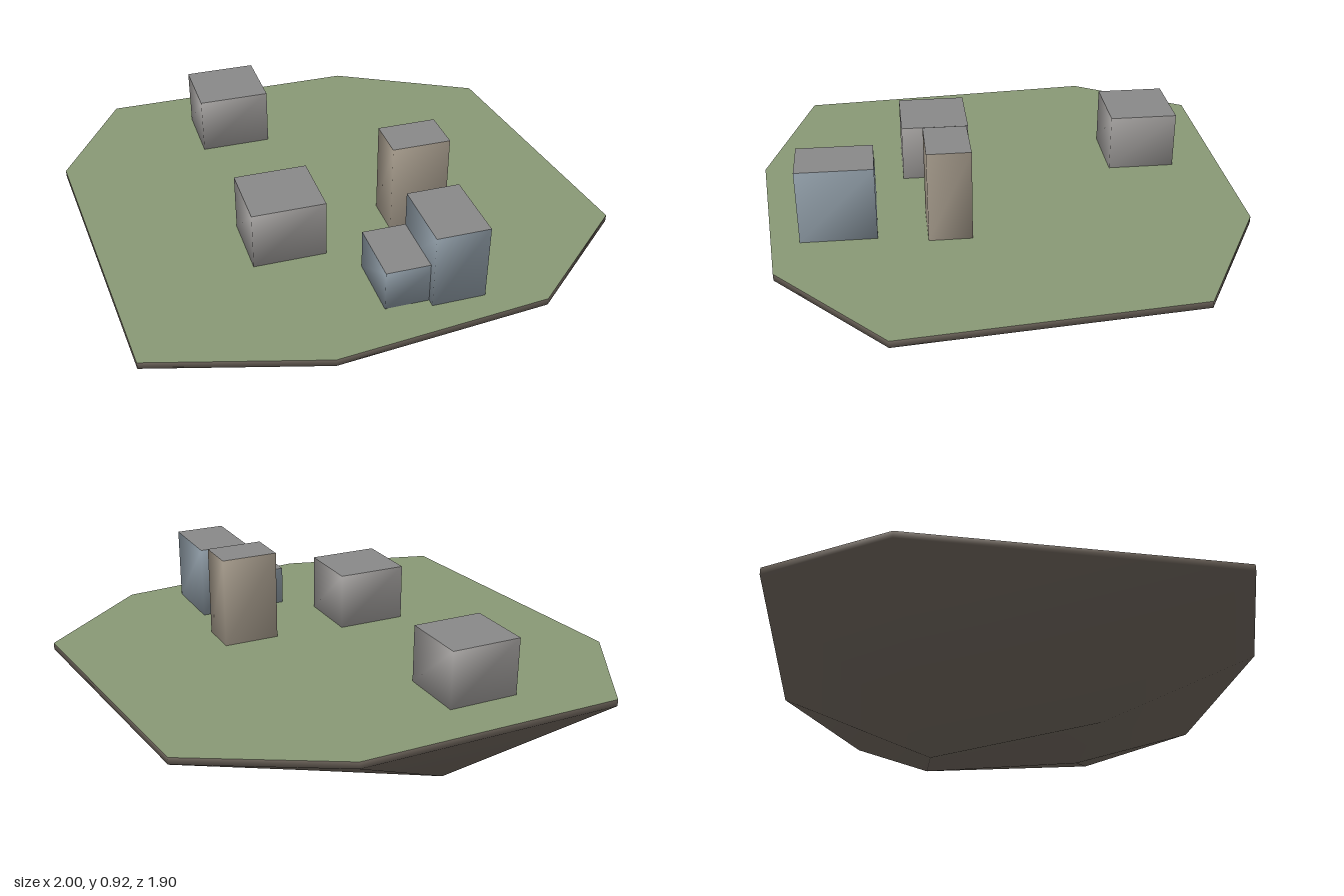
import * as THREE from 'three';

const TOP = 0.555, LIP = 0.528;

// Island outline (x, z), clockwise seen from above
const RIM = [[-0.72, -0.95], [0.34, -0.95], [0.893, -0.647], [1, 0.47],
  [0.55, 0.87], [-0.27, 0.95], [-0.91, 0.765], [-1, -0.49]];

// Lowest corners of the rock (x, y, z), same direction
const FEET = [[-0.38, 0, -0.33], [0.23, 0.18, -0.33], [0.23, 0.24, 0.3], [-0.38, 0.165, 0.3]];

const mat = (color) => new THREE.MeshStandardMaterial({ color });

function mesh(name, geometry, color) {
  const m = new THREE.Mesh(geometry, mat(color));
  m.name = name;
  return m;
}

// Closed-below body with shared, smooth normals
function smoothBody(name, points, index, color) {
  const geo = new THREE.BufferGeometry();
  geo.setAttribute('position', new THREE.Float32BufferAttribute(points.flat(), 3));
  geo.setIndex(index);
  geo.computeVertexNormals();
  return mesh(name, geo, color);
}

// Flat horizontal face from an (x, z) outline
function flatTop(name, outline, y, color) {
  const shape = new THREE.Shape(outline.map(([x, z]) => new THREE.Vector2(x, -z)));
  const geo = new THREE.ShapeGeometry(shape).rotateX(-Math.PI / 2).translate(0, y, 0);
  return mesh(name, geo, color);
}

// Points of an outline at one height
const ring = (outline, y) => outline.map(([x, z]) => [x, y, z]);

// Faces between two rings of n points, the second ring following the first
function wall(n) {
  const index = [];
  for (let i = 0; i < n; i++) {
    const j = (i + 1) % n;
    index.push(i, j, n + j, i, n + j, n + i);
  }
  return index;
}

// Faces closing a four-cornered underside that starts at point s
const underside = (s) => [s, s + 1, s + 3, s + 1, s + 2, s + 3];

// Rock with a thin lip: each foot carries two neighbouring rim corners
function rock() {
  const n = RIM.length, index = wall(n);
  const foot = (i) => 2 * n + (((i + 1) >> 1) % 4);
  for (let i = 0; i < n; i++) {
    const j = (i + 1) % n;
    index.push(n + i, n + j, foot(i));
    if (foot(i) !== foot(j)) index.push(n + j, foot(j), foot(i));
  }
  index.push(...underside(2 * n));
  return smoothBody('rock', [...ring(RIM, TOP), ...ring(RIM, LIP), ...FEET], index, 0x7a7066);
}

// Block with softly shaded walls and a flat roof
function building(name, x0, x1, z0, z1, top, color) {
  const corners = [[x0, z0], [x1, z0], [x1, z1], [x0, z1]];
  const points = [...ring(corners, top), ...ring(corners, TOP)];
  const group = new THREE.Group();
  group.name = name;
  group.add(
    smoothBody('walls', points, [...wall(4), ...underside(4)], color),
    flatTop('roof', corners, top, 0x8a8a8a),
  );
  return group;
}

export function createModel() {
  const model = new THREE.Group();
  model.name = 'floatingIsland';
  model.add(
    flatTop('grass', RIM, TOP, 0x8a9a76),
    rock(),
    building('backHouse', -0.41, -0.127, -0.755, -0.485, 0.782, 0xb4b1af),
    building('middleHouse', -0.41, -0.127, 0.107, 0.377, 0.782, 0xb4b1af),
    building('tower', 0.155, 0.381, 0.137, 0.303, 0.915, 0xb0a595),
    building('tallBlock', 0.14, 0.343, 0.492, 0.783, 0.847, 0x9caab5),
    building('lowBlock', -0.027, 0.176, 0.492, 0.75, 0.712, 0x9caab5),
  );
  return model;
}
